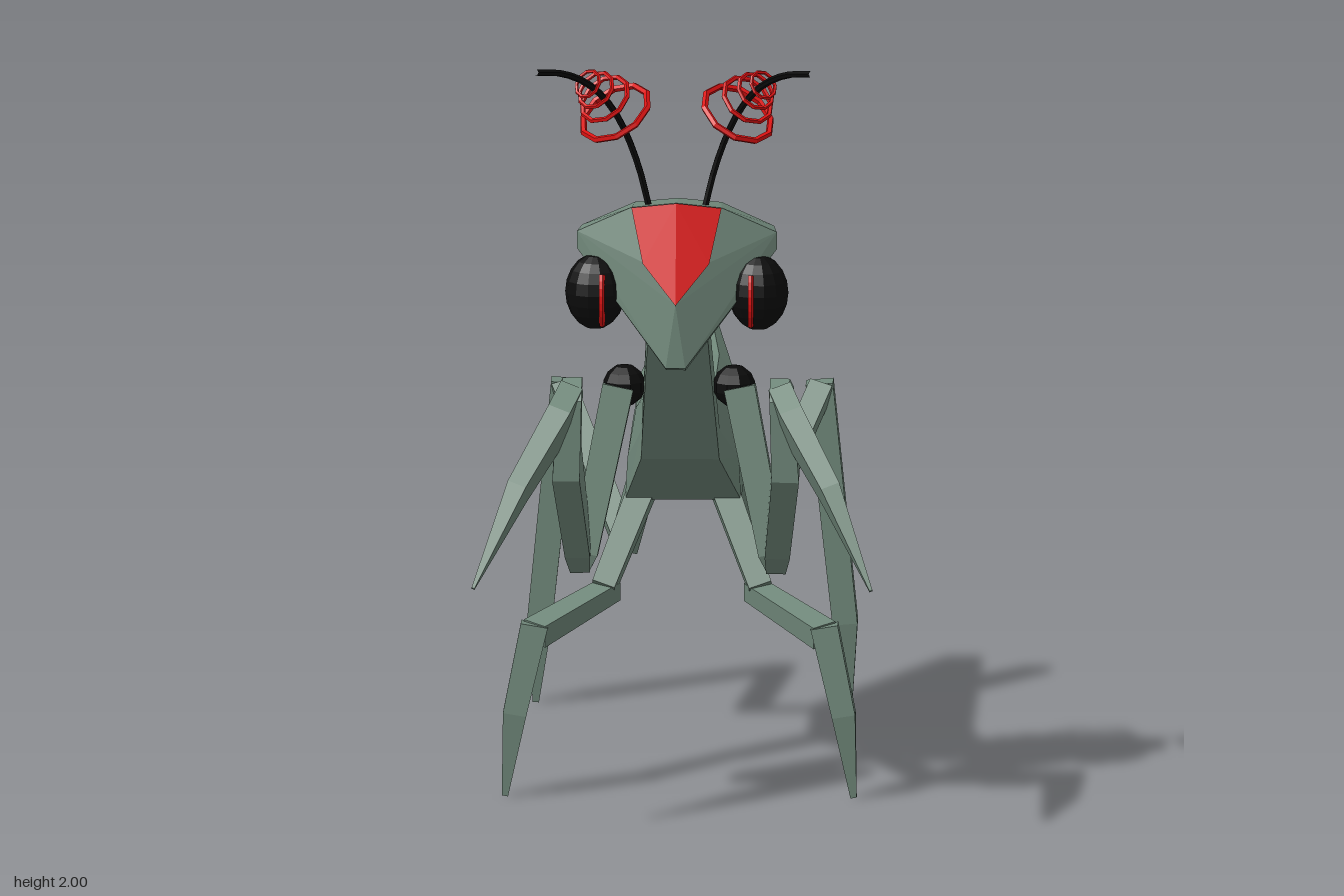
import * as THREE from 'three';
import { ConvexGeometry } from 'three/addons/geometries/ConvexGeometry.js';

const V = (x, y, z) => new THREE.Vector3(x, y, z);
const paint = (color) => new THREE.MeshStandardMaterial({ color, flatShading: true });
const green = paint(0x728a7c);
const black = paint(0x0b0b0b);
const red = paint(0xdd1111);
red.side = THREE.DoubleSide;

// Skin a closed solid over rings of points, facing outwards
function loft(rings) {
  const n = rings[0].length;
  const pts = rings.flat();
  let tris = [];
  for (let r = 0; r < rings.length - 1; r++) {
    for (let i = 0; i < n; i++) {
      const a = r * n + i, b = r * n + (i + 1) % n;
      tris.push([a, b, b + n], [a, b + n, a + n]);
    }
  }
  const last = (rings.length - 1) * n;
  for (let i = 1; i < n - 1; i++) tris.push([0, i + 1, i], [last, last + i, last + i + 1]);
  const volume = tris.reduce((sum, [a, b, c]) => sum + pts[a].dot(pts[b].clone().cross(pts[c])), 0);
  if (volume < 0) tris = tris.map(([a, b, c]) => [a, c, b]);
  const flat = tris.flat().map((i) => pts[i]);
  const geometry = new THREE.BufferGeometry().setFromPoints(flat);
  geometry.computeVertexNormals();
  return geometry;
}

// Square-sectioned limb; each stop is [x, y, z, half width, half depth]
function limb(side, stops) {
  const centres = stops.map(([x, y, z]) => V(x * side, y, z));
  const along = centres[centres.length - 1].clone().sub(centres[0]).normalize();
  const across = V(1, 0, 0).addScaledVector(along, -along.x).normalize();
  const deep = along.clone().cross(across);
  return loft(stops.map(([, , , w, d], k) =>
    [[-1, -1], [1, -1], [1, 1], [-1, 1]].map(([i, j]) =>
      centres[k].clone().addScaledVector(across, i * w).addScaledVector(deep, j * d))));
}

export function createModel() {
  const model = new THREE.Group();
  const add = (name, geometry, material = green, parent = model) => {
    const mesh = new THREE.Mesh(geometry, material);
    mesh.name = name;
    parent.add(mesh);
    return mesh;
  };

  // Abdomen, thorax and neck: [top z, top y, bottom z, bottom y, four half widths from top to bottom]
  const bodyRings = [
    [-0.88, 1.08, -0.885, 1.04, [0.035, 0.04, 0.04, 0.035]],
    [-0.47, 1.0, -0.47, 0.71, [0.08, 0.12, 0.142, 0.148]],
    [-0.06, 1.0, -0.06, 0.71, [0.08, 0.12, 0.142, 0.148]],
    [0.1, 1.05, 0.19, 0.87, [0.078, 0.09, 0.1, 0.1]],
    [0.37, 1.4, 0.46, 1.33, [0.06, 0.07, 0.075, 0.07]],
  ].map(([tz, ty, bz, by, widths]) => {
    const half = [0, 0.17, 0.62, 1].map((t, i) =>
      V(widths[i], THREE.MathUtils.lerp(ty, by, t), THREE.MathUtils.lerp(tz, bz, t)));
    return [...half, ...half.map((p) => V(-p.x, p.y, p.z)).reverse()];
  });
  add('body', loft(bodyRings));

  // Faceted wedge head
  const headPoints = [V(0, 1.61, 0.52), V(0, 1.36, 0.6), V(0, 1.58, 0.32)];
  for (const s of [-1, 1]) {
    headPoints.push(
      V(s * 0.115, 1.595, 0.505), V(s * 0.08, 1.46, 0.554),
      V(s * 0.255, 1.525, 0.47), V(s * 0.255, 1.48, 0.47), V(s * 0.245, 1.52, 0.37),
      V(s * 0.11, 1.57, 0.32), V(s * 0.09, 1.38, 0.38),
      V(s * 0.025, 1.195, 0.6), V(s * 0.025, 1.18, 0.55));
  }
  add('head', new ConvexGeometry(headPoints));

  // Red shield on the forehead, folded along its middle
  for (const s of [-1, 1]) {
    const top = V(0, 1.61, 0.526), point = V(0, 1.36, 0.606);
    const corner = V(s * 0.115, 1.595, 0.511), edge = V(s * 0.085, 1.46, 0.56);
    add('foreheadMark', new THREE.BufferGeometry().setFromPoints(
      s > 0 ? [top, point, edge, top, edge, corner] : [top, edge, point, top, corner, edge]), red)
      .geometry.computeVertexNormals();
  }

  for (const s of [-1, 1]) {
    const half = new THREE.Group();
    half.name = s > 0 ? 'leftSide' : 'rightSide';
    model.add(half);
    const part = (name, geometry, material) => add(name, geometry, material, half);

    // Eye with a red slit
    const eye = part('eye', new THREE.SphereGeometry(1, 14, 10), black);
    eye.position.set(s * 0.208, 1.37, 0.48);
    eye.scale.set(0.077, 0.098, 0.074);
    const slit = [-0.08, -0.04, 0, 0.03, 0.055].map((dy) =>
      V(s * 0.19, 1.37 + dy, 0.48 + 0.074 * Math.sqrt(0.95 - (dy / 0.098) ** 2)));
    part('eyeSlit', new THREE.TubeGeometry(new THREE.CatmullRomCurve3(slit), 8, 0.008, 5), red);

    // Antenna threaded through shrinking rings
    const antenna = new THREE.CatmullRomCurve3([
      V(s * 0.07, 1.58, 0.46), V(s * 0.1, 1.7, 0.465), V(s * 0.15, 1.83, 0.5),
      V(s * 0.21, 1.92, 0.57), V(s * 0.28, 1.975, 0.66), V(s * 0.352, 1.998, 0.75)]);
    part('antenna', new THREE.TubeGeometry(antenna, 14, 0.009, 6), black);
    [[0.44, 0.095, 0.009], [0.53, 0.068, 0.007], [0.6, 0.05, 0.006], [0.66, 0.036, 0.005]].forEach(([t, radius, thick]) => {
      const ring = part('antennaRing', new THREE.TorusGeometry(radius, thick, 5, 10), red);
      ring.position.copy(antenna.getPointAt(t));
      ring.quaternion.setFromUnitVectors(V(0, 0, 1), antenna.getTangentAt(t));
    });

    // Grasping arm
    const shoulder = part('shoulder', new THREE.SphereGeometry(0.055, 10, 7), black);
    shoulder.position.set(s * 0.14, 1.08, 0.27);
    part('upperArm', limb(s, [
      [0.155, 1.08, 0.285, 0.04, 0.045], [0.24, 0.66, 0.355, 0.035, 0.036], [0.25, 0.62, 0.36, 0.025, 0.02]]));
    part('armBlade', limb(s, [
      [0.25, 0.62, 0.365, 0.025, 0.02], [0.255, 0.68, 0.39, 0.032, 0.05],
      [0.28, 0.925, 0.505, 0.035, 0.088], [0.27, 1.12, 0.56, 0.03, 0.04], [0.265, 1.145, 0.55, 0.025, 0.028]]));
    part('forearmSpike', limb(s, [
      [0.265, 1.13, 0.55, 0.03, 0.025], [0.295, 1.06, 0.59, 0.03, 0.06],
      [0.4, 0.9, 0.73, 0.025, 0.045], [0.508, 0.68, 0.89, 0.004, 0.004]]));

    // Front walking leg
    part('frontHip', limb(s, [[0.1, 0.74, -0.1, 0.035, 0.035], [0.2, 0.5, 0.03, 0.03, 0.03]]));
    part('frontThigh', limb(s, [[0.18, 0.49, 0.0, 0.028, 0.025], [0.37, 0.425, 0.25, 0.034, 0.03]]));
    part('frontShin', limb(s, [
      [0.37, 0.45, 0.25, 0.035, 0.03], [0.42, 0.22, 0.263, 0.03, 0.03], [0.445, 0.005, 0.265, 0.008, 0.006]]));

    // Rear walking leg
    part('rearHip', limb(s, [[0.1, 0.74, -0.41, 0.035, 0.035], [0.165, 0.49, -0.53, 0.035, 0.03]]));
    part('rearThigh', limb(s, [[0.16, 0.49, -0.53, 0.03, 0.025], [0.33, 0.84, -0.83, 0.03, 0.025]]));
    part('rearShin', limb(s, [
      [0.325, 0.85, -0.845, 0.035, 0.03], [0.39, 0.22, -0.86, 0.032, 0.03], [0.4, 0.005, -0.868, 0.008, 0.006]]));
  }
  return model;
}
